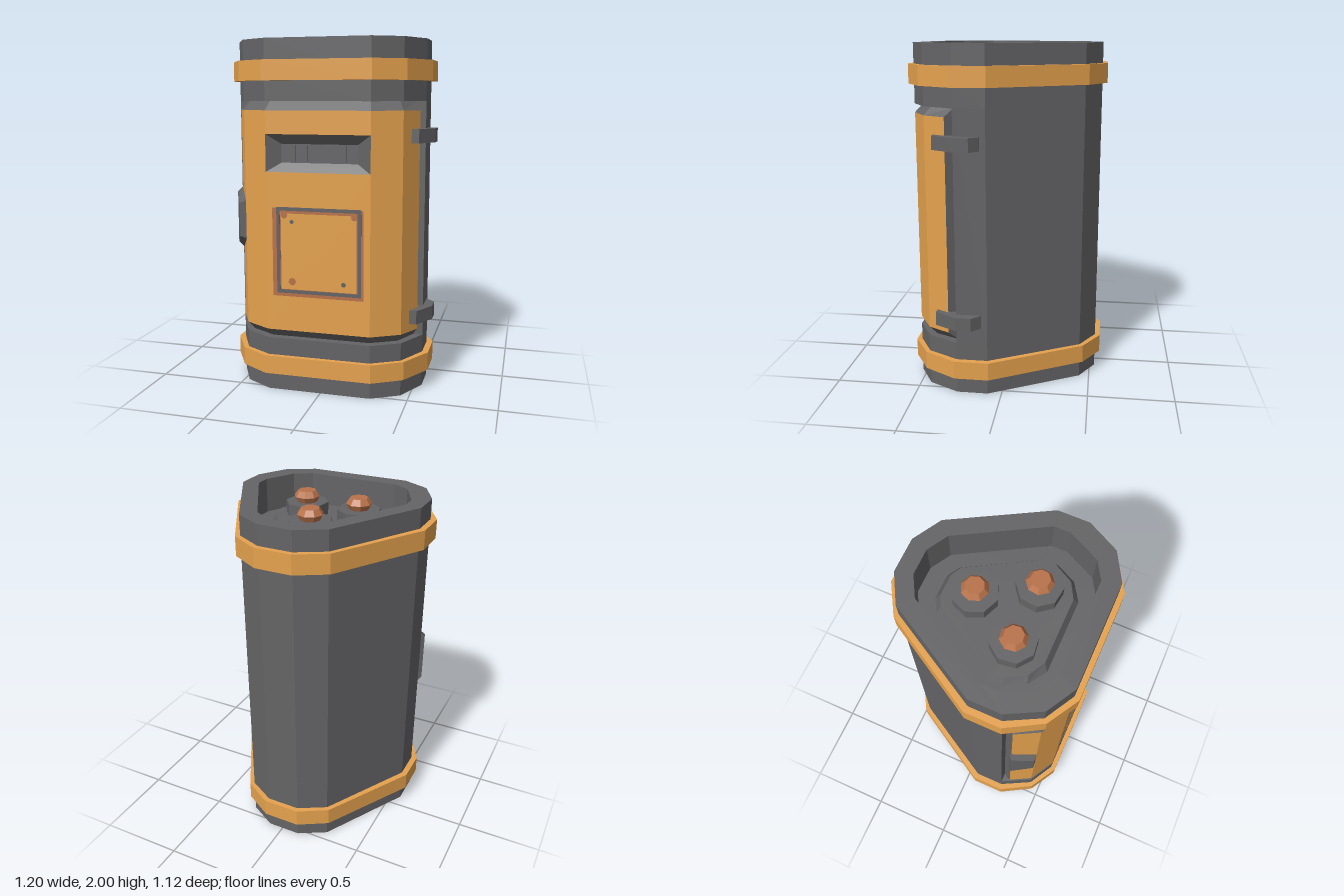
import * as THREE from 'three';
import { ConvexGeometry } from 'three/addons/geometries/ConvexGeometry.js';

const CX = -0.01; // symmetry plane of the canister

const mat = (name, color) => {
  const m = new THREE.MeshStandardMaterial({ color });
  m.name = name;
  return m;
};

// half outline [dx, z] from back to front -> full ring [x, z], ending on the left side
const ring = (half) => [
  ...half.map(([d, z]) => [CX + d, z]),
  ...half.slice().reverse().map(([d, z]) => [CX - d, z]),
];

const flat = (g) => {
  const n = g.index ? g.toNonIndexed() : g;
  n.computeVertexNormals();
  return n;
};

// vertical prism over a plan outline, optionally hollow
function prism(outline, y0, y1, hole) {
  const pts = (o) => o.map(([x, z]) => new THREE.Vector2(x, -z)).reverse();
  const shape = new THREE.Shape(pts(outline));
  if (hole) shape.holes.push(new THREE.Path(pts(hole)));
  const g = new THREE.ExtrudeGeometry(shape, { depth: y1 - y0, bevelEnabled: false });
  return g.rotateX(-Math.PI / 2).translate(0, y0, 0);
}

// flat faces from a list of four-cornered loops
function quads(list) {
  const pos = [];
  for (const [a, b, c, d] of list) pos.push(...a, ...b, ...c, ...a, ...c, ...d);
  const g = new THREE.BufferGeometry();
  g.setAttribute('position', new THREE.Float32BufferAttribute(pos, 3));
  g.computeVertexNormals();
  return g;
}

const rect = (x0, x1, y0, y1, z) => [[x0, y0, z], [x1, y0, z], [x1, y1, z], [x0, y1, z]];

// thin rectangular frame on the front
function frame(x0, x1, y0, y1, t, z, depth) {
  const corners = (i) => rect(x0 + i, x1 - i, y0 + i, y1 - i, 0).map(([x, y]) => new THREE.Vector2(x, y));
  const s = new THREE.Shape(corners(0));
  s.holes.push(new THREE.Path(corners(t)));
  return new THREE.ExtrudeGeometry(s, { depth, bevelEnabled: false }).translate(0, 0, z);
}

export function createModel() {
  const grey = mat('dark grey metal', 0x646466);
  const orange = mat('orange paint', 0xe5a24e);
  const copper = mat('copper', 0xb8724a);
  const model = new THREE.Group();
  model.name = 'canister';
  const add = (name, geo, m, parent = model) => {
    const mesh = new THREE.Mesh(geo, m);
    mesh.name = name;
    parent.add(mesh);
  };

  // plan outlines
  const bodyHalf = [[0.10, -0.53], [0.26, -0.44], [0.555, 0.08], [0.555, 0.26], [0.46, 0.44], [0.30, 0.53]];
  const insetHalf = [[0.50, 0.26], [0.435, 0.40], [0.288, 0.482]];
  const body = ring(bodyHalf);
  const band = ring([[0.11, -0.56], [0.28, -0.46], [0.59, 0.07], [0.59, 0.27], [0.48, 0.46], [0.31, 0.56]]);
  const well = ring([[0.075, -0.435], [0.19, -0.37], [0.46, 0.10], [0.46, 0.19], [0.37, 0.37], [0.27, 0.43]]);
  const platLow = ring([[0.07, -0.335], [0.14, -0.295], [0.365, 0.09], [0.365, 0.18], [0.31, 0.29], [0.21, 0.355]]);
  const platTop = ring([[0.065, -0.305], [0.12, -0.275], [0.34, 0.10], [0.34, 0.17], [0.28, 0.28], [0.19, 0.33]]);

  // middle of the body, cut back behind the door
  add('bodyMiddle', prism(ring([...bodyHalf.slice(0, 4), ...insetHalf]), 0.31, 1.66), grey);

  // one end: cap, rim, band, raised platform and three terminals
  function end(name, floorStart, bandStart, bandEnd) {
    const g = new THREE.Group();
    g.name = name;
    add('endBlock', prism(body, floorStart, 1.80), grey, g);
    add('endRim', prism(body, 1.80, 2, well), grey, g);
    add('endBand', prism(band, bandStart, bandEnd, body), orange, g);
    const n = platLow.length;
    const at = (o, i, y) => [o[i % n][0], y, o[i % n][1]];
    add('platformBevel', quads(platLow.map((_, i) => [
      at(platLow, i + 1, 1.80), at(platLow, i, 1.80), at(platTop, i, 1.85), at(platTop, i + 1, 1.85),
    ])), grey, g);
    add('platform', prism(platTop, 1.80, 1.85), grey, g);
    [[0, -0.135], [-0.165, 0.15], [0.165, 0.15]].forEach(([dx, z], i) => {
      const t = new THREE.Group();
      t.name = 'terminal';
      t.position.set(CX + dx, 1.85, z);
      t.rotation.y = i * 2 * Math.PI / 3;
      add('terminalBase', flat(new THREE.CylinderGeometry(0.125, 0.125, 0.07, 8).translate(0, 0.035, 0)), grey, t);
      const profile = [[0.058, 0.07], [0.075, 0.102], [0.053, 0.135], [0, 0.135]]
        .map(([r, y]) => new THREE.Vector2(r, y));
      add('terminalTip', flat(new THREE.LatheGeometry(profile, 8)), copper, t);
      g.add(t);
    });
    model.add(g);
    return g;
  }
  end('topEnd', 1.66, 1.772, 1.884);
  const bottom = end('bottomEnd', 1.69, 1.792, 1.898);
  bottom.rotation.z = Math.PI;
  bottom.position.set(2 * CX, 2, 0);

  // door: painted face with bevelled edges, left to right
  const openProfile = (half) => [
    ...half.map(([d, z]) => [CX - d, z]),
    ...half.slice().reverse().map(([d, z]) => [CX + d, z]),
  ];
  const O = openProfile([[0.53, 0.31], [0.46, 0.44], [0.30, 0.53]]);
  const I = openProfile(insetHalf);
  const p = ([x, z], y) => [x, y, z];
  const [yb, y0, y1, yt] = [0.31, 0.36, 1.61, 1.66];
  const [w0, w1] = [1.27, 1.48];
  const face = [], bevel = [];
  for (let i = 0; i < 5; i++) {
    const spans = i === 2 ? [[y0, w0], [w1, y1]] : [[y0, y1]];
    for (const [a, b] of spans) face.push([p(O[i], a), p(O[i + 1], a), p(O[i + 1], b), p(O[i], b)]);
    bevel.push([p(I[i], yb), p(I[i + 1], yb), p(O[i + 1], y0), p(O[i], y0)]);
    bevel.push([p(O[i], y1), p(O[i + 1], y1), p(I[i + 1], yt), p(I[i], yt)]);
  }
  bevel.push([p(I[0], yb), p(O[0], y0), p(O[0], y1), p(I[0], yt)]);
  bevel.push([p(O[5], y0), p(I[5], yb), p(I[5], yt), p(O[5], y1)]);
  add('doorFace', quads(face), orange);
  add('doorBevel', quads(bevel), grey);

  // sunken control window with three keys
  const A = rect(-0.31, 0.29, w0, w1, 0.53);
  const B = rect(-0.23, 0.21, 1.32, 1.425, 0.488);
  add('controlRecess', quads([...A.map((a, i) => [a, A[(i + 1) % 4], B[(i + 1) % 4], B[i]]), B]), grey);
  for (const [x0, x1] of [[-0.185, -0.145], [-0.11, -0.075], [-0.05, 0.145]]) {
    add('controlKey', new THREE.BoxGeometry(x1 - x0, 0.09, 0.012).translate((x0 + x1) / 2, 1.374, 0.492), grey);
  }

  // worn painted square with frame and rust spots
  add('rustBorder', frame(-0.275, 0.253, 0.563, 1.07, 0.06, 0.53, 0.001), copper);
  add('squareFrame', frame(-0.25, 0.24, 0.582, 1.075, 0.02, 0.53, 0.003), grey);
  add('squarePanel', new THREE.BoxGeometry(0.438, 0.435, 0.002).translate(-0.005, 0.822, 0.531), orange);
  for (const [x, y, r, m] of [[-0.16, 0.65, 0.022, copper], [0.14, 0.65, 0.014, grey], [-0.16, 0.993, 0.012, grey],
    [-0.205, 1.03, 0.02, copper], [0.2, 1.03, 0.018, copper]]) {
    add('wearSpot', new THREE.CircleGeometry(r, 8).translate(x, y, 0.5327), m);
  }

  // door handle on the slanted corner
  const grip = [
    [-0.545, 0.785, 0.30], [-0.545, 1.155, 0.30], [-0.47, 0.865, 0.44], [-0.47, 1.09, 0.44],
    [-0.57, 0.82, 0.32], [-0.57, 1.125, 0.32], [-0.508, 0.88, 0.443], [-0.508, 1.075, 0.443],
  ].map((v) => new THREE.Vector3(...v));
  add('handle', new ConvexGeometry(grip), grey);

  // hinges wrapped round the opposite corner
  const hinge = [[0.53, 0.115], [0.55, 0.115], [0.598, 0.165], [0.598, 0.255], [0.526, 0.382], [0.485, 0.382], [0.50, 0.25]];
  for (const y of [0.408, 1.432]) add('hinge', prism(hinge, y, y + 0.078), grey);

  return model;
}
